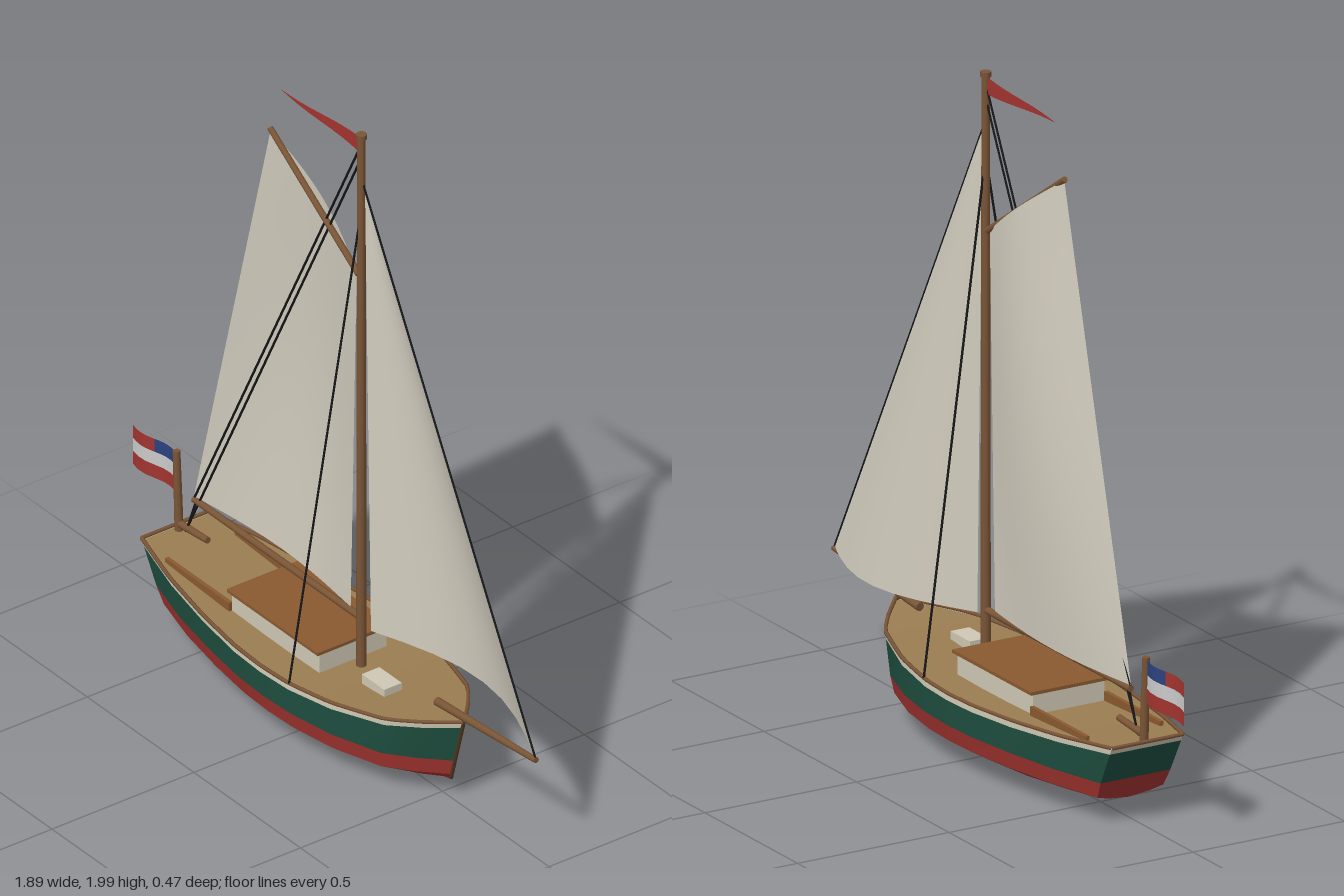
import * as THREE from 'three';

const COLORS = {
  wood: 0x7a5536, dark: 0x4f3622, deck: 0x9a7d52, roof: 0x8a5a30, green: 0x1f4f40, red: 0xa33430,
  cream: 0xcfc8b4, sail: 0xd2ccbe, rope: 0x17171a, blue: 0x2c4280, white: 0xdedede,
};
const V = (x, y, z = 0) => new THREE.Vector3(x, y, z);
const lerp = THREE.MathUtils.lerp;

export function createModel() {
  const boat = new THREE.Group();
  boat.name = 'sailboat';

  const mats = {};
  for (const key in COLORS) {
    mats[key] = new THREE.MeshStandardMaterial({ color: COLORS[key], side: THREE.DoubleSide });
  }

  function add(name, geometry, mat, parent = boat) {
    const mesh = new THREE.Mesh(geometry, mats[mat]);
    mesh.name = name;
    parent.add(mesh);
    return mesh;
  }
  function group(name) {
    const g = new THREE.Group();
    g.name = name;
    boat.add(g);
    return g;
  }
  // Surface from a rule fn(u, v) -> point, u and v in 0..1
  function sheet(fn, nu, nv) {
    const g = new THREE.PlaneGeometry(1, 1, nu, nv);
    const p = g.attributes.position, uv = g.attributes.uv;
    for (let i = 0; i < p.count; i++) {
      const q = fn(uv.getX(i), uv.getY(i));
      p.setXYZ(i, q.x, q.y, q.z);
    }
    g.computeVertexNormals();
    return g;
  }
  // Round bar from a to b
  function bar(name, a, b, r0, r1, mat, parent = boat, sides = 10) {
    const dir = b.clone().sub(a);
    const mesh = add(name, new THREE.CylinderGeometry(r1, r0, dir.length(), sides), mat, parent);
    mesh.position.copy(a).add(b).multiplyScalar(0.5);
    mesh.quaternion.setFromUnitVectors(V(0, 1, 0), dir.normalize());
    return mesh;
  }
  function box(name, x0, x1, y0, y1, z0, z1, mat, parent = boat) {
    const mesh = add(name, new THREE.BoxGeometry(x1 - x0, y1 - y0, z1 - z0), mat, parent);
    mesh.position.set((x0 + x1) / 2, (y0 + y1) / 2, (z0 + z1) / 2);
    return mesh;
  }

  // Hull stations: [x at sheer, half width, sheer height]
  const stations = [
    [-0.755, 0.117, 0.262], [-0.56, 0.168, 0.25], [-0.36, 0.203, 0.241], [-0.18, 0.225, 0.237],
    [-0.05, 0.23, 0.236], [0.08, 0.225, 0.238], [0.25, 0.2, 0.247], [0.43, 0.145, 0.262],
    [0.52, 0.078, 0.273], [0.6, 0.002, 0.285],
  ];
  const last = stations.length - 1;
  // Rows run from sheer (0) over strake, waterline, chine and bilge to keel (5)
  const widths = [1, 1.005, 0.985, 0.93, 0.58, 0];
  function hullPoint(station, row, side) {
    const [x, w, sheer] = stations[station];
    const t = (x + 0.755) / 1.355;
    const keel = 0.005 + 0.06 * Math.pow(Math.abs(2 * t - 1), 2.4);
    const chine = 0.085;
    const y = [sheer, sheer - 0.022, 0.137, chine, lerp(keel, chine, 0.42), keel][row];
    const stern = -0.755 + (0.262 - y) * 0.53;
    const bow = 0.6 - (0.285 - y) * 0.28;
    return V(lerp(stern, bow, t), y, side * w * widths[row]);
  }
  const hull = group('hull');
  for (const [name, top, bottom, mat] of [
    ['sheerStrake', 0, 1, 'cream'], ['topside', 1, 2, 'green'],
    ['waterlineBand', 2, 3, 'red'], ['bottom', 3, 5, 'red'],
  ]) {
    const n = bottom - top;
    const row = v => Math.round(bottom - n * v);
    for (const side of [1, -1]) {
      add(name, sheet((u, v) =>
        hullPoint(Math.round((side > 0 ? u : 1 - u) * last), row(v), side), last, n), mat, hull);
    }
    add(name + 'Transom', sheet((u, v) => hullPoint(0, row(v), 2 * u - 1), 1, n), mat, hull);
  }
  add('deck', sheet((u, v) => {
    const p = hullPoint(Math.round(u * last), 0, 1 - 2 * v);
    p.y -= 0.006;
    return p;
  }, last, 2), 'deck', hull);

  // Rail along the sheer and across the stern, and the stem
  for (const side of [1, -1]) {
    const path = new THREE.CatmullRomCurve3(
      stations.map((s, i) => hullPoint(i, 0, side)), false, 'catmullrom', 0.15);
    add('rail', new THREE.TubeGeometry(path, 36, 0.006, 6), 'wood', hull);
  }
  bar('sternRail', hullPoint(0, 0, 1), hullPoint(0, 0, -1), 0.006, 0.006, 'wood', hull, 6);
  bar('stem', V(0.54, 0.07), V(0.6, 0.285), 0.006, 0.006, 'dark', hull, 6);

  // Deck fittings
  const cabin = group('cabin');
  box('cabinWalls', -0.33, 0.08, 0.225, 0.296, -0.118, 0.118, 'cream', cabin);
  box('cabinRoof', -0.338, 0.088, 0.296, 0.306, -0.13, 0.13, 'roof', cabin);
  box('hatch', 0.205, 0.31, 0.235, 0.27, 0, 0.062, 'cream');
  for (const side of [1, -1]) {
    box('cockpitCoaming', -0.63, -0.33, 0.23, 0.262, side * 0.122 - 0.006, side * 0.122 + 0.006, 'roof');
  }
  bar('tiller', V(-0.74, 0.277), V(-0.6, 0.287), 0.012, 0.01, 'wood');

  // Spars
  const spars = group('spars');
  bar('mast', V(0.12, 0.23), V(0.12, 1.99), 0.015, 0.012, 'wood', spars);
  bar('mastCap', V(0.12, 1.985), V(0.12, 2), 0.016, 0.016, 'wood', spars);
  bar('boom', V(-0.665, 0.392), V(0.11, 0.392), 0.01, 0.011, 'wood', spars);
  bar('gaff', V(-0.308, 1.806), V(0.108, 1.528), 0.009, 0.01, 'wood', spars);
  bar('bowsprit', V(0.475, 0.292), V(0.94, 0.329), 0.013, 0.009, 'wood', spars);

  // Sails, both bellied towards -z
  const sails = group('sails');
  add('mainsail', sheet((u, v) => {
    const p = V(-0.665, 0.402).lerp(V(0.07, 0.402), u)
      .lerp(V(-0.305, 1.802).lerp(V(0.098, 1.532), u), v);
    p.z = -Math.sin(Math.PI * u) * (0.03 + 0.025 * Math.sin(Math.PI * v));
    return p;
  }, 10, 10), 'sail', sails);
  add('jib', sheet((u, v) => {
    const p = V(0.165, 0.37).lerp(V(0.935, 0.333), u).lerp(V(0.137, 1.825), v);
    p.z = -0.108 * Math.sin(Math.PI * u) * (1 - v);
    return p;
  }, 8, 10), 'sail', sails);

  // Standing and running rigging
  const rigging = group('rigging');
  const rope = (name, a, b) => bar(name, a, b, 0.0035, 0.0035, 'rope', rigging, 6);
  rope('forestay', V(0.13, 1.835), V(0.937, 0.333));
  rope('backstay', V(0.12, 1.92), V(-0.705, 0.265));
  rope('toppingLift', V(0.115, 1.955), V(-0.662, 0.4));
  rope('mainsheet', V(-0.655, 0.39), V(-0.7, 0.27));
  for (const side of [1, -1]) {
    rope('shroud', V(0.12, 1.75, 0), V(0.083, 0.24, side * 0.227));
  }

  // Pennant at the masthead
  add('pennant', sheet((u, v) =>
    V(lerp(-0.26, 0.11, u), 1.96 + (v - 0.5) * 0.052 * u, 0.004 * Math.sin(u * 6)), 8, 1), 'red');

  // Stern flag: three stripes, with a blue field in the upper corner by the staff
  const flag = group('sternFlag');
  bar('flagstaff', V(-0.735, 0.255), V(-0.747, 0.512), 0.013, 0.011, 'wood', flag);
  const cloth = (name, u0, u1, v0, v1, mat) => add(name, sheet((u, v) => {
    const s = lerp(u0, u1, u), t = lerp(v0, v1, v);
    return V(lerp(-0.95, -0.75, s), 0.365 + 0.13 * t + 0.009 * s, 0.008 * Math.sin(s * 6.28));
  }, 6, 1), mat, flag);
  cloth('lowerStripe', 0, 1, 0, 0.34, 'red');
  cloth('middleStripe', 0, 1, 0.34, 0.67, 'white');
  cloth('upperStripe', 0, 0.5, 0.67, 1, 'red');
  cloth('flagField', 0.5, 1, 0.67, 1, 'blue');

  return boat;
}
